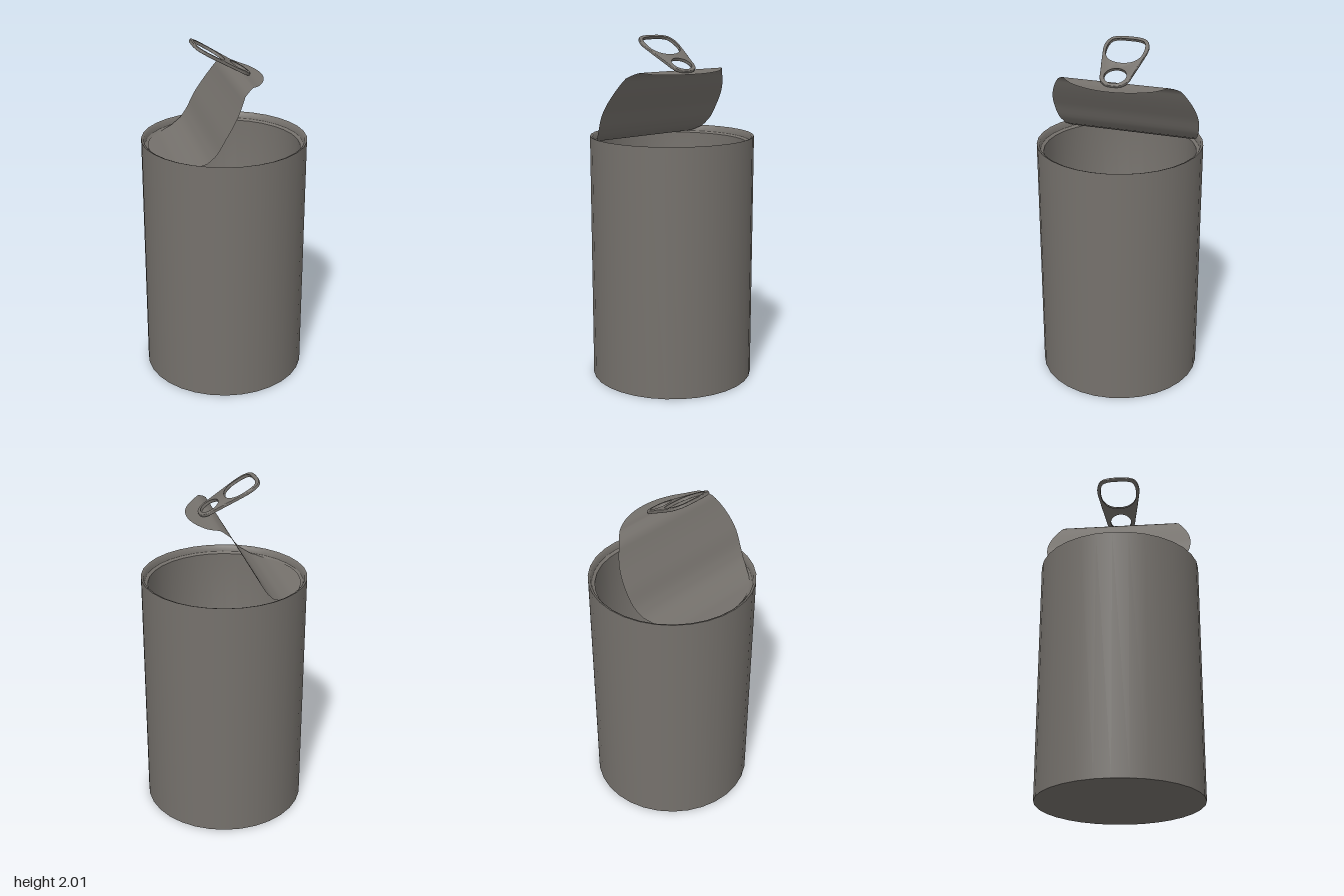
import * as THREE from 'three';
import { toCreasedNormals } from 'three/addons/utils/BufferGeometryUtils.js';

const metal = new THREE.MeshStandardMaterial({ color: 0x75716c, side: THREE.DoubleSide });
metal.name = 'dull metal';

const v2 = (pts) => pts.map(([x, y]) => new THREE.Vector2(x, y));

function add(group, name, geometry) {
  const mesh = new THREE.Mesh(geometry, metal);
  mesh.name = name;
  group.add(mesh);
  return mesh;
}

const lathe = (pts) => new THREE.LatheGeometry(v2(pts), 32);

// Disc rolled back along a side profile, its width following the arc length
function lidGeometry() {
  const profile = v2([[-0.437, 1.405], [-0.32, 1.395], [-0.24, 1.41], [-0.18, 1.443], [-0.135, 1.495],
    [-0.09, 1.58], [-0.03, 1.675], [0.0, 1.725], [0.035, 1.79], [0.085, 1.818],
    [0.14, 1.806], [0.213, 1.803]]);
  const lengths = [0];
  for (let i = 1; i < profile.length; i++) lengths.push(lengths[i - 1] + profile[i].distanceTo(profile[i - 1]));
  const total = lengths[lengths.length - 1];
  const rows = 48, cols = 12;
  const geo = new THREE.PlaneGeometry(1, 1, cols, rows);
  const pos = geo.attributes.position;
  for (let r = 0; r <= rows; r++) {
    // Rows crowd towards both ends so the tips stay round
    const c = Math.cos((r / rows) * Math.PI);
    const s = (total * (1 - c)) / 2;
    let k = 1;
    while (k < lengths.length - 1 && lengths[k] < s) k++;
    const t = (s - lengths[k - 1]) / (lengths[k] - lengths[k - 1]);
    const p = profile[k - 1].clone().lerp(profile[k], t);
    const half = 0.436 * Math.sqrt(Math.max(0, 1 - c * c));
    for (let j = 0; j <= cols; j++) {
      pos.setXYZ(r * (cols + 1) + j, p.x, p.y, half * (1 - (2 * j) / cols));
    }
  }
  // Reverse the faces so they look up out of the can
  const index = geo.index;
  for (let i = 0; i < index.count; i += 3) {
    const a = index.getX(i);
    index.setX(i, index.getX(i + 1));
    index.setX(i + 1, a);
  }
  geo.computeVertexNormals();
  const n = geo.attributes.normal;
  if (n.getY(24 * (cols + 1) + 6) < 0) {
    for (let i = 0; i < index.count; i += 3) {
      const a = index.getX(i);
      index.setX(i, index.getX(i + 1));
      index.setX(i + 1, a);
    }
    geo.computeVertexNormals();
  }
  return geo;
}

// Closed smooth outline, mirrored across the long axis
function mirroredCurve(half) {
  const all = [...half, ...half.slice(1, -1).reverse().map(([x, y]) => [x, -y])];
  const curve = new THREE.CatmullRomCurve3(all.map(([x, y]) => new THREE.Vector3(x, y, 0)), true, 'centripetal');
  return curve.getPoints(48).slice(0, -1).map((p) => new THREE.Vector2(p.x, p.y));
}

function tabGeometry() {
  const shape = new THREE.Shape(mirroredCurve([[-0.19, 0], [-0.187, 0.06], [-0.17, 0.107], [-0.115, 0.131],
    [-0.03, 0.12], [0.08, 0.097], [0.15, 0.08], [0.18, 0.05], [0.19, 0]]));
  shape.holes.push(new THREE.Path(mirroredCurve([[-0.173, 0], [-0.17, 0.06], [-0.155, 0.098], [-0.11, 0.114],
    [-0.04, 0.108], [0.005, 0.07], [0.022, 0]])));
  const ring = new THREE.Path();
  ring.absellipse(0.116, 0, 0.061, 0.069, 0, Math.PI * 2, true);
  shape.holes.push(ring);
  const geo = new THREE.ExtrudeGeometry(shape, {
    depth: 0.008, bevelEnabled: true, bevelThickness: 0.005, bevelSize: 0.005,
    bevelOffset: -0.005, bevelSegments: 2, curveSegments: 24,
  });
  geo.translate(0, 0, -0.004);
  geo.rotateX(-Math.PI / 2);
  return toCreasedNormals(geo, 0.8);
}

export function createModel() {
  const group = new THREE.Group();
  group.name = 'opened can';

  // Body shell
  add(group, 'outerWall', lathe([[0.475, 0], [0.475, 1.44]]));
  add(group, 'base', lathe([[0, 0], [0.475, 0]]));

  // Rolled rim and the ledge left by the torn lid
  add(group, 'rim', lathe([[0.475, 1.44], [0.46, 1.434], [0.454, 1.405]]));
  add(group, 'ledge', lathe([[0.454, 1.405], [0.437, 1.395]]));

  // Inside of the can
  add(group, 'innerWall', lathe([[0.437, 1.395], [0.437, 0.02], [0, 0.02]]));

  // Peeled lid and pull tab
  add(group, 'lid', lidGeometry());
  const tab = add(group, 'pullTab', tabGeometry());
  tab.position.set(-0.021, 1.905, 0);
  tab.rotation.z = -0.525;

  return group;
}
